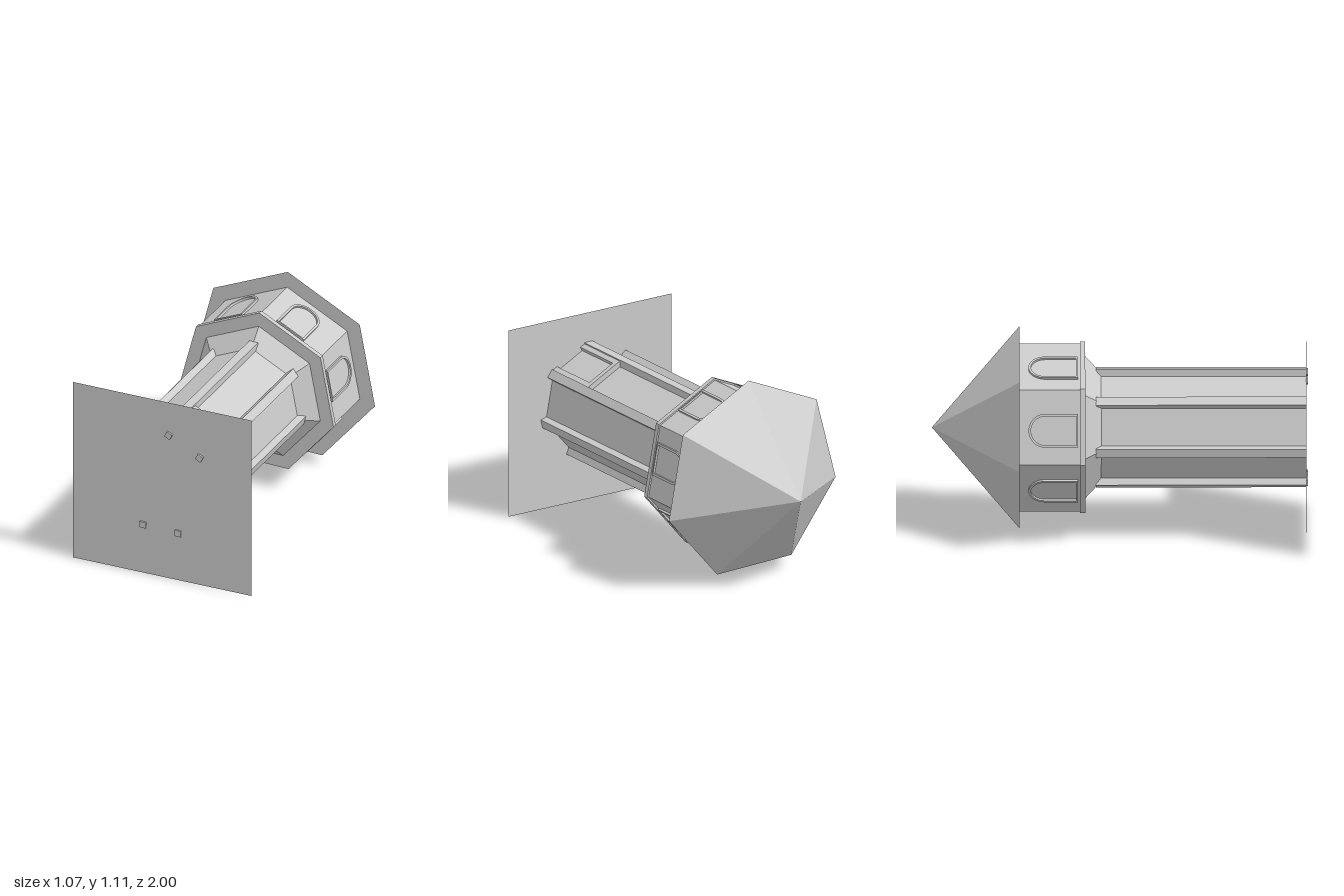
import * as THREE from 'three';

const SIDES = 7;
const STEP = (Math.PI * 2) / SIDES;
const CORNER = THREE.MathUtils.degToRad(2); // angle of the first corner
const grey = new THREE.MeshStandardMaterial({ color: 0xcccccc, flatShading: true, side: THREE.DoubleSide });

function add(parent, name, geometry) {
  const mesh = new THREE.Mesh(geometry, grey);
  mesh.name = name;
  parent.add(mesh);
  return mesh;
}

// Seven-sided section between two heights along the tower axis
function section(parent, name, y0, r0, y1, r1) {
  const geo = new THREE.CylinderGeometry(r1, r0, y1 - y0, SIDES, 1, false, CORNER);
  return add(parent, name, geo.translate(0, (y0 + y1) / 2, 0));
}

// Group turned so that its +z points outward at the given angle
function outward(parent, name, angle) {
  const g = new THREE.Group();
  g.name = name;
  g.rotation.y = angle;
  parent.add(g);
  return g;
}

// Round-headed outline standing on y = 0
function archPath(PathType, half, bottom, spring) {
  const p = new PathType();
  p.moveTo(-half, bottom);
  p.lineTo(half, bottom);
  p.lineTo(half, spring);
  p.absarc(0, spring, half, 0, Math.PI, false);
  p.lineTo(-half, bottom);
  return p;
}

function windowFrame() {
  const shape = archPath(THREE.Shape, 0.09, 0, 0.172);
  shape.holes.push(archPath(THREE.Path, 0.077, 0.008, 0.172));
  return new THREE.ExtrudeGeometry(shape, { depth: 0.015, bevelEnabled: false, curveSegments: 10 });
}

function doorFrame() {
  const shape = new THREE.Shape();
  [[-0.12, 0], [-0.085, 0], [-0.085, 0.315], [0.085, 0.315], [0.085, 0], [0.12, 0], [0.12, 0.343], [-0.12, 0.343]]
    .forEach(([x, y], i) => (i ? shape.lineTo(x, y) : shape.moveTo(x, y)));
  return new THREE.ExtrudeGeometry(shape, { depth: 0.035, bevelEnabled: false });
}

export function createModel() {
  const model = new THREE.Group();
  model.name = 'tower';

  // The tower is built upright, then laid down so its roof points to -z
  const tower = new THREE.Group();
  tower.name = 'layingTower';
  tower.rotation.x = -Math.PI / 2;
  tower.position.set(0, 0.563, 1);
  model.add(tower);

  // Ground sheet
  add(tower, 'groundSheet', new THREE.PlaneGeometry(1.05, 1.05).rotateX(-Math.PI / 2).translate(0, 0.01, -0.038));

  // Main body, from foot to roof tip
  section(tower, 'shaft', 0.01, 0.295, 1.1, 0.295);
  section(tower, 'flare', 1.1, 0.295, 1.187, 0.39);
  section(tower, 'ledge', 1.185, 0.468, 1.213, 0.468);
  section(tower, 'upperRoom', 1.2, 0.458, 1.535, 0.458);
  section(tower, 'roof', 1.535, 0.55, 2, 0);

  const windowGeo = windowFrame();
  for (let i = 0; i < SIDES; i++) {
    // Corner pilasters
    const corner = outward(tower, 'pilaster', CORNER + i * STEP);
    add(corner, 'pilasterStrip', new THREE.BoxGeometry(0.05, 1.117, 0.042).translate(0, 0.5685, 0.301));

    // Arched windows in the upper room
    const face = outward(tower, 'window', CORNER + (i + 0.5) * STEP);
    add(face, 'windowFrame', windowGeo).position.set(-0.018, 1.225, 0.409);
  }

  // Doors on two faces
  const doorGeo = doorFrame();
  for (const i of [0, 3]) {
    const face = outward(tower, 'door', CORNER + (i + 0.5) * STEP);
    add(face, 'doorFrame', doorGeo).position.set(0, 0, 0.26);
    add(face, 'doorPanel', new THREE.BoxGeometry(0.175, 0.31, 0.014).translate(0, 0.165, 0.264));
  }

  return model;
}
